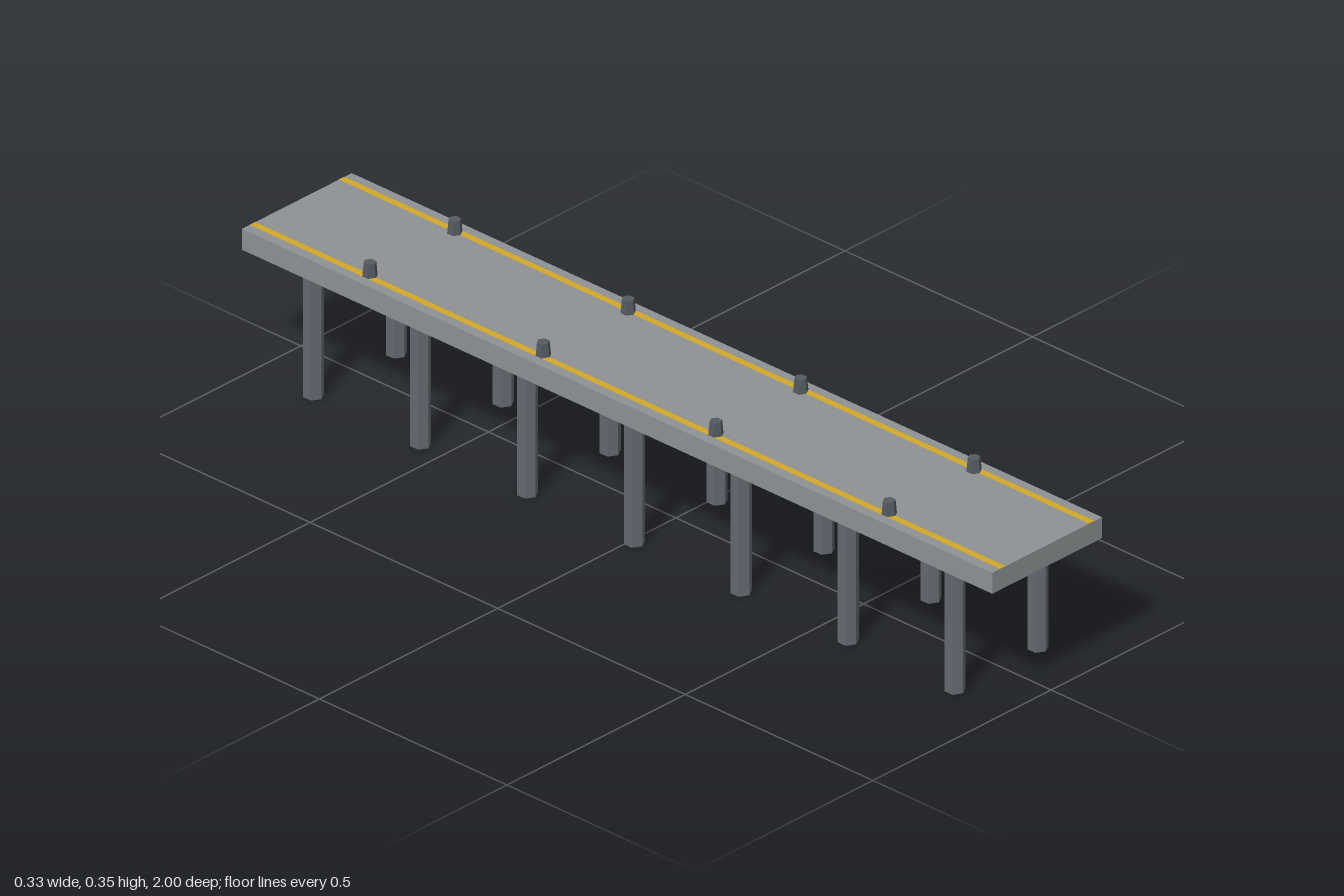
import * as THREE from 'three';

const paint = (name, color) => {
  const m = new THREE.MeshStandardMaterial({ color });
  m.name = name;
  return m;
};

export function createModel() {
  const pier = new THREE.Group();
  pier.name = 'pier';
  const concrete = paint('concrete grey', 0x8e9294);
  const steel = paint('steel grey', 0x626a70);
  const iron = paint('dark iron', 0x535b61);
  const rubber = paint('black rubber', 0x1e2426);
  const yellow = paint('safety yellow', 0xd2a82c);

  const centreX = -0.011, deckTop = 0.324, deckBottom = 0.278;

  const add = (name, geometry, material, x, y, z) => {
    const mesh = new THREE.Mesh(geometry, material);
    mesh.name = name;
    mesh.position.set(x, y, z);
    pier.add(mesh);
  };

  // Six-sided, faceted cylinder
  const hex = (top, bottom, height) => {
    const g = new THREE.CylinderGeometry(top, bottom, height, 6).toNonIndexed();
    g.computeVertexNormals();
    return g;
  };

  // Deck slab
  add('deck', new THREE.BoxGeometry(0.308, deckTop - deckBottom, 2), concrete,
    centreX, (deckTop + deckBottom) / 2, 0);

  const pileGeo = hex(0.0213, 0.0213, deckBottom);
  const bollardGeo = hex(0.0127, 0.0156, 0.03);
  const fenderGeo = hex(0.0247, 0.0247, 0.021).rotateZ(-Math.PI / 2);
  const stripeGeo = new THREE.BoxGeometry(0.015, 0.001, 2);

  for (const side of [-1, 1]) {
    // Painted edge line
    add('edgeStripe', stripeGeo, yellow, centreX + side * 0.125, deckTop + 0.0002, 0);
    // Support piles
    for (let i = 0; i < 7; i++) {
      add('pile', pileGeo, steel, centreX + side * 0.116, deckBottom / 2, 0.865 - i * 0.285);
    }
    // Mooring bollards, with fenders on one side of the deck
    for (const z of [-0.692, -0.23, 0.23, 0.692]) {
      add('bollard', bollardGeo, iron, centreX + side * 0.119, deckTop + 0.015, z);
      if (side > 0) add('fender', fenderGeo, rubber, 0.1525, 0.2865, z);
    }
  }
  return pier;
}
